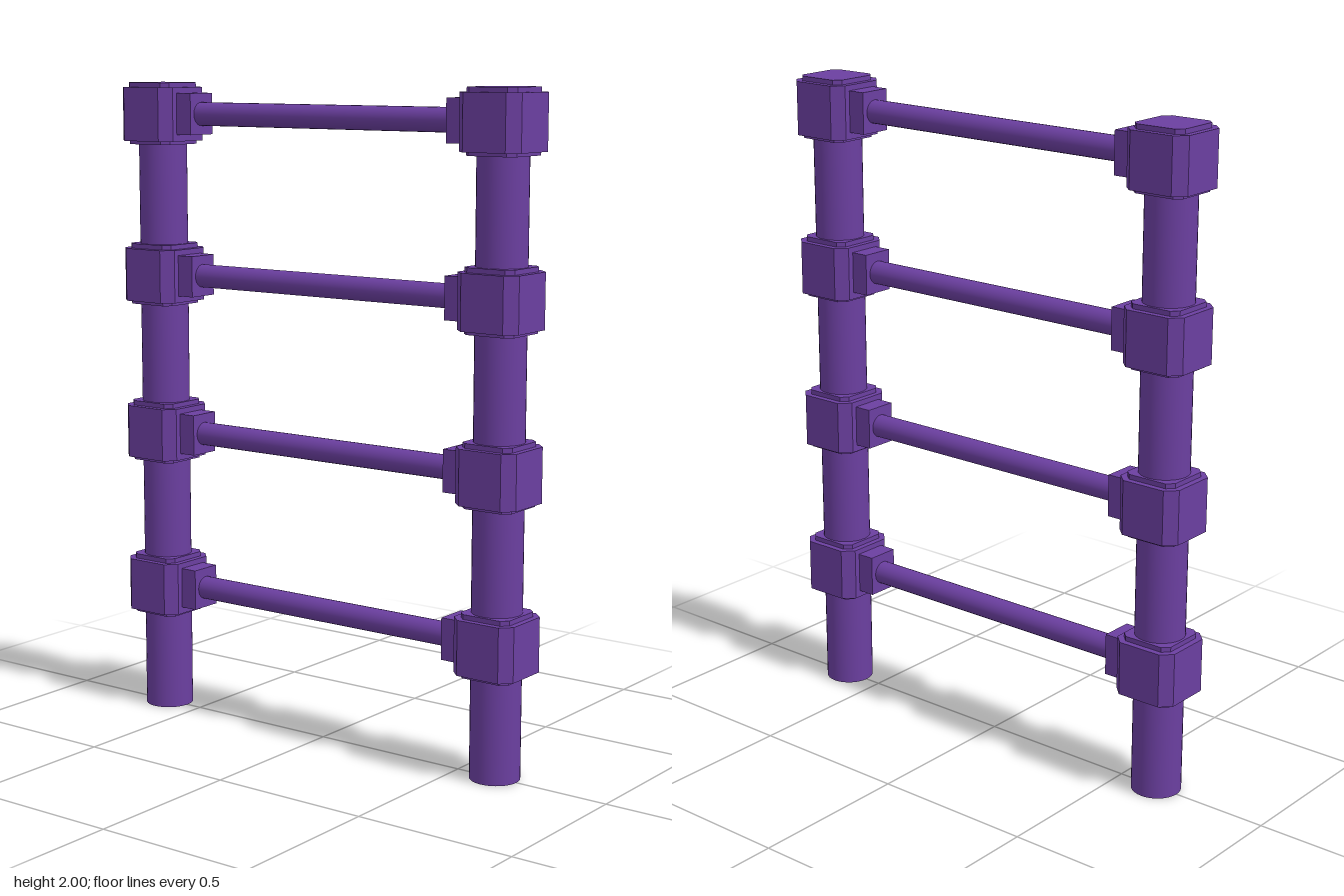
import * as THREE from 'three';

const POST_Z = 0.628;
const LEVELS = [0.405, 0.905, 1.405, 1.905];

// Upright prism with a square plan and cut corners, centred on y = 0
function cutCornerPrism(half, cut, height) {
  const a = half, b = half - cut;
  const plan = new THREE.Shape(
    [[a, -b], [a, b], [b, a], [-b, a], [-a, b], [-a, -b], [-b, -a], [b, -a]]
      .map(([x, y]) => new THREE.Vector2(x, y)));
  const geo = new THREE.ExtrudeGeometry(plan, { depth: height, bevelEnabled: false });
  return geo.translate(0, 0, -height / 2).rotateX(-Math.PI / 2);
}

export function createModel() {
  const model = new THREE.Group();
  model.name = 'ladderFrame';
  const material = new THREE.MeshStandardMaterial({ color: 0x6b3fa0 });

  const add = (parent, name, geometry, x, y, z) => {
    const mesh = new THREE.Mesh(geometry, material);
    mesh.name = name;
    mesh.position.set(x, y, z);
    parent.add(mesh);
    return mesh;
  };

  const postGeo = new THREE.CylinderGeometry(0.075, 0.075, 1.9, 32);
  const blockGeo = cutCornerPrism(0.102, 0.032, 0.165);
  const plateGeo = cutCornerPrism(0.083, 0.02, 0.19);
  const socketGeo = new THREE.BoxGeometry(0.104, 0.127, 0.09);
  const rungGeo = new THREE.CylinderGeometry(0.036, 0.036, 1.0, 24).rotateX(Math.PI / 2);

  // Two posts, each with a joint at every level
  for (const side of [1, -1]) {
    const z = side * POST_Z;
    add(model, side > 0 ? 'frontPost' : 'backPost', postGeo, 0, 0.95, z);
    for (const y of LEVELS) {
      const joint = new THREE.Group();
      joint.name = side > 0 ? 'frontJoint' : 'backJoint';
      joint.position.set(0, y, z);
      add(joint, 'jointBlock', blockGeo, 0, -0.002, 0);
      add(joint, 'jointPlate', plateGeo, 0, 0, 0);
      add(joint, 'rungSocket', socketGeo, 0, 0, -side * 0.113);
      model.add(joint);
    }
  }

  // Rungs running between the sockets
  for (const y of LEVELS) add(model, 'rung', rungGeo, 0, y, 0);

  return model;
}
